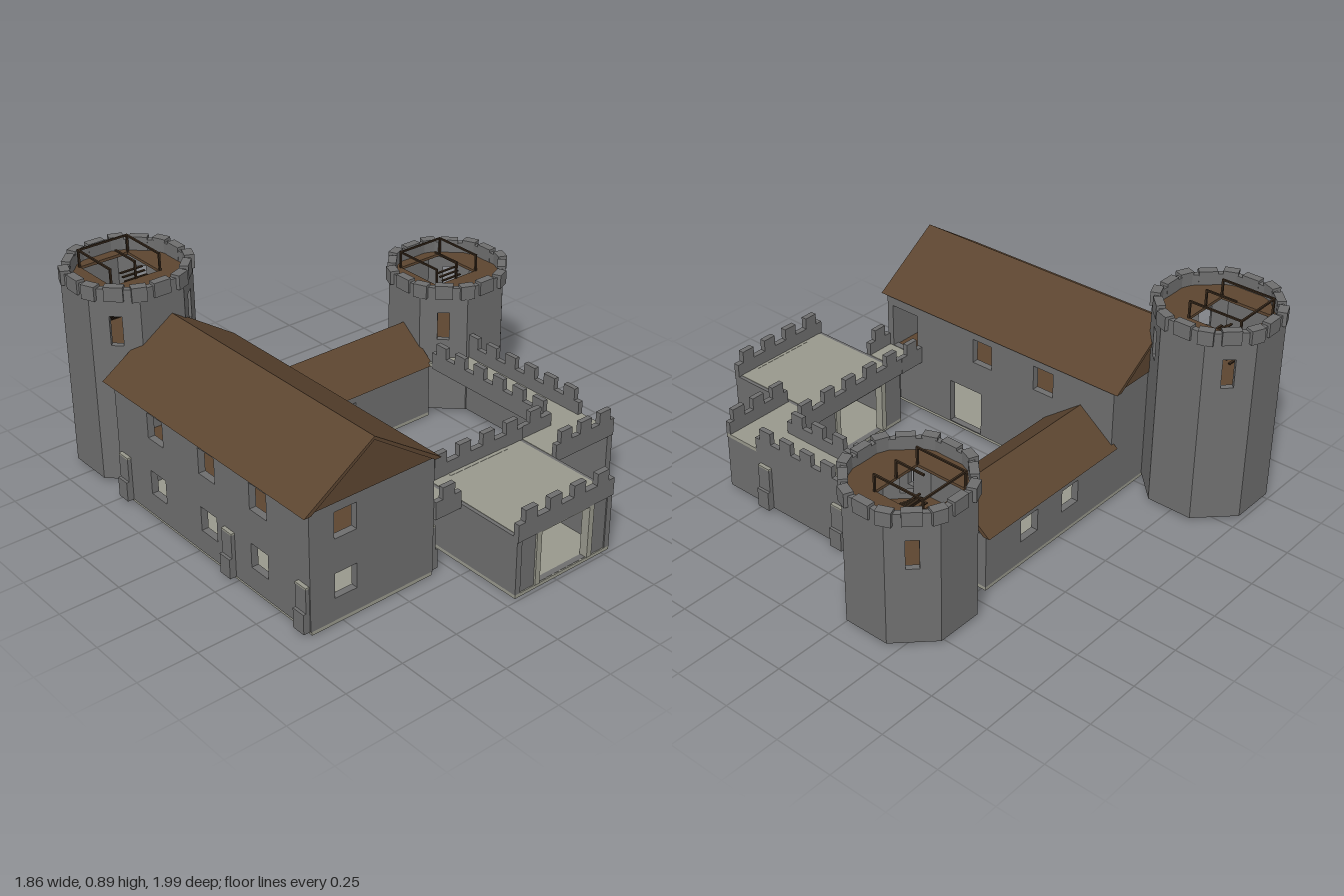
import * as THREE from 'three';

const mat = (name, color) => Object.assign(new THREE.MeshStandardMaterial({ color }), { name });
const stone = mat('grey stone', 0x6e6e6e);
const pale = mat('pale stone', 0x98988c);
const wood = mat('brown wood', 0x5c4530);
const dark = mat('dark timber', 0x36281b);
const PI = Math.PI, BASE = 0.015;

export function createModel() {
  const root = new THREE.Group();
  root.name = 'castle';

  const group = (name, parent = root) => {
    const g = new THREE.Group();
    g.name = name;
    parent.add(g);
    return g;
  };
  const add = (parent, name, geo, m) => {
    const mesh = new THREE.Mesh(geo, m);
    mesh.name = name;
    parent.add(mesh);
    return mesh;
  };
  // box given by its limits
  const box = (parent, name, m, x0, x1, y0, y1, z0, z1) => {
    const b = add(parent, name, new THREE.BoxGeometry(x1 - x0, y1 - y0, z1 - z0), m);
    b.position.set((x0 + x1) / 2, (y0 + y1) / 2, (z0 + z1) / 2);
    return b;
  };
  // upright wall, outer face turned by angle; holes are [u, bottom, width, height]
  const wall = (parent, name, len, y1, angle, x, z, holes = [], t = 0.03) => {
    const rect = (S, u0, v0, u1, v1) => {
      const s = new S();
      s.moveTo(u0, v0); s.lineTo(u1, v0); s.lineTo(u1, v1); s.lineTo(u0, v1); s.closePath();
      return s;
    };
    const shape = rect(THREE.Shape, -len / 2, BASE, len / 2, y1);
    for (const [u, v, w, h] of holes) shape.holes.push(rect(THREE.Path, u - w / 2, v, u + w / 2, v + h));
    const geo = new THREE.ExtrudeGeometry(shape, { depth: t, bevelEnabled: false }).translate(0, 0, -t);
    const mesh = add(parent, name, geo, stone);
    mesh.rotation.y = angle;
    mesh.position.set(x, 0, z);
    return mesh;
  };
  // gabled roof along local z: thin covering over a slightly shorter solid
  const roof = (parent, name, half, eave, ridge, len) => {
    const g = group(name, parent), t = 0.014;
    const prism = (pts, d, part) => {
      const s = new THREE.Shape(pts.map(p => new THREE.Vector2(...p)));
      add(g, part, new THREE.ExtrudeGeometry(s, { depth: d, bevelEnabled: false }).translate(0, 0, -d / 2), wood);
    };
    prism([[-half, eave], [-half + 0.03, eave], [0, ridge - t], [half - 0.03, eave], [half, eave], [0, ridge]], len, 'roofCovering');
    prism([[-half + 0.02, eave + 0.001], [half - 0.02, eave + 0.001], [0, ridge - t / 2]], len - 0.024, 'gable');
    return g;
  };
  // parapet with merlons between two points on one axis
  const parapet = (parent, alongX, a, b, c0, c1) => {
    const g = group('parapet', parent);
    const bar = (n, p, q, y0, y1) => alongX
      ? box(g, n, stone, p, q, y0, y1, c0, c1) : box(g, n, stone, c0, c1, y0, y1, p, q);
    bar('parapetBase', a, b, 0.245, 0.32);
    const n = Math.max(1, Math.round((b - a) / 0.115)), pitch = (b - a) / n;
    for (let i = 0; i < n; i++) {
      const mid = a + (i + 0.5) * pitch;
      bar('merlon', mid - 0.03, mid + 0.03, 0.32, 0.37);
    }
  };
  // stepped buttress standing out along dir on the x axis
  const buttress = (parent, x, z, dir) => {
    const b = (name, m, d, y0, y1) =>
      box(parent, name, m, Math.min(x, x + dir * d), Math.max(x, x + dir * d), y0, y1, z - 0.03, z + 0.03);
    b('buttressFoot', stone, 0.028, BASE, 0.1);
    b('buttressShaft', stone, 0.016, 0.1, 0.2);
    b('buttressCap', pale, 0.016, 0.2, 0.207);
  };

  // great hall
  const hall = group('hall');
  const win = u => [[u, 0.11, 0.1, 0.105], [u, 0.36, 0.1, 0.11]];
  box(hall, 'hallFloor', pale, -0.89, -0.33, 0, BASE, -0.52, 0.68);
  wall(hall, 'hallFrontWall', 0.57, 0.512, 0, -0.61, 0.68, win(-0.125));
  wall(hall, 'hallBackWall', 0.57, 0.512, PI, -0.61, -0.52);
  wall(hall, 'hallOuterWall', 1.2, 0.512, -PI / 2, -0.895, 0.08, [-0.33, 0, 0.31].flatMap(win));
  wall(hall, 'hallCourtWall', 1.2, 0.512, PI / 2, -0.325, 0.08, [
    [-0.07, 0.36, 0.1, 0.11], [0.25, 0.36, 0.1, 0.11],
    [-0.16, 0.02, 0.17, 0.2], [-0.505, 0.267, 0.15, 0.195]]);
  box(hall, 'upperFloor', wood, -0.87, -0.35, 0.25, 0.262, -0.49, 0.65);
  for (let i = 0; i < 11; i++) {
    const y = 0.03 + i * 0.02, z = 0.58 - i * 0.035;
    box(hall, 'stairTread', wood, -0.79, -0.7, y, y + 0.012, z - 0.04, z);
  }
  roof(hall, 'hallRoof', 0.31, 0.512, 0.718, 1.245).position.set(-0.62, 0, 0.078);
  for (const z of [-0.47, 0.21, 0.645]) buttress(hall, -0.895, z, -1);
  buttress(hall, -0.325, 0.645, 1);

  // low range at the back
  const range = group('backRange');
  box(range, 'rangeFloor', pale, -0.33, 0.44, 0, BASE, -0.52, -0.2);
  wall(range, 'rangeCourtWall', 0.77, 0.255, 0, 0.055, -0.2, [[-0.075, 0.02, 0.12, 0.19]]);
  wall(range, 'rangeBackWall', 0.77, 0.255, PI, 0.055, -0.52,
    [[0.12, 0.11, 0.1, 0.1], [-0.13, 0.11, 0.1, 0.1]]);
  wall(range, 'rangeEndWall', 0.32, 0.255, PI / 2, 0.44, -0.36);
  const lowRoof = roof(range, 'rangeRoof', 0.18, 0.25, 0.388, 0.785);
  lowRoof.rotation.y = PI / 2;
  lowRoof.position.set(0.0525, 0, -0.36);

  // gatehouse with a framed passage
  const gate = group('gatehouse');
  box(gate, 'gateFloor', pale, -0.2, 0.29, 0, BASE, 0.5, 0.985);
  box(gate, 'gatePlatform', pale, -0.185, 0.275, 0.25, 0.265, 0.505, 0.965);
  wall(gate, 'gateSideWall', 0.485, 0.263, -PI / 2, -0.2, 0.7425, [], 0.025);
  wall(gate, 'gateSideWall', 0.485, 0.263, PI / 2, 0.29, 0.7425, [], 0.025);
  for (const [z, a] of [[0.98, 0], [0.5, PI]]) {
    wall(gate, 'gateWall', 0.49, 0.263, a, 0.045, z, [[0, 0.016, 0.25, 0.225]], 0.025);
    const z0 = z - (a ? 0.008 : 0.028), z1 = z + (a ? 0.028 : 0.008);
    box(gate, 'gateFrameSide', pale, -0.102, -0.078, BASE, 0.242, z0, z1);
    box(gate, 'gateFrameSide', pale, 0.168, 0.192, BASE, 0.242, z0, z1);
    box(gate, 'gateFrameLintel', pale, -0.102, 0.192, 0.24, 0.266, z0, z1);
  }
  parapet(gate, true, -0.2, 0.29, 0.965, 0.99);
  parapet(gate, true, -0.2, 0.29, 0.488, 0.512);

  // raised wall walks
  const walk = group('curtainWall');
  for (const [x0, x1] of [[-0.325, -0.2], [0.29, 0.61]]) {
    box(walk, 'wallWalk', pale, x0, x1, 0.25, 0.265, 0.49, 0.69);
    parapet(walk, true, x0, x1, 0.67, 0.692);
  }
  parapet(walk, true, -0.325, -0.2, 0.486, 0.508);
  parapet(walk, true, 0.29, 0.43, 0.486, 0.508);
  box(walk, 'wallWalk', pale, 0.43, 0.61, 0.25, 0.265, -0.19, 0.49);
  parapet(walk, false, -0.17, 0.508, 0.428, 0.45);
  parapet(walk, false, -0.15, 0.52, 0.59, 0.612);
  box(walk, 'outerWall', stone, 0.582, 0.61, BASE, 0.252, -0.17, 0.688);
  for (const z of [0.47, 0.07]) buttress(walk, 0.61, z, 1);

  // eight-sided towers
  const A = 0.24, T8 = Math.tan(PI / 8);
  const octagon = (a, y, t, hole) => {
    const s = new THREE.Shape();
    for (let i = 0; i < 8; i++) {
      const q = (i + 0.5) * PI / 4, r = a / Math.cos(PI / 8);
      s[i ? 'lineTo' : 'moveTo'](r * Math.cos(q), r * Math.sin(q));
    }
    s.closePath();
    if (hole) {
      const p = new THREE.Path();
      p.moveTo(-0.11, -0.06); p.lineTo(0.11, -0.06); p.lineTo(0.11, 0.17); p.lineTo(-0.11, 0.17);
      p.closePath();
      s.holes.push(p);
    }
    return new THREE.ExtrudeGeometry(s, { depth: t, bevelEnabled: false }).rotateX(-PI / 2).translate(0, y, 0);
  };
  const tower = (name, x, z, h) => {
    const g = group(name);
    g.position.set(x, 0, z);
    add(g, 'towerBase', octagon(A - 0.005, BASE, 0.012), stone);
    for (let i = 0; i < 8; i++) {
      const q = i * PI / 4, c = q + PI / 8;
      wall(g, 'towerWall', 2 * A * T8, h - 0.012, q, A * Math.sin(q), A * Math.cos(q),
        i % 2 ? [[0, h - 0.252, 0.05, 0.125]] : [], 0.025);
      // merlons hung over each face and each corner
      const block = (a, r, w, d) => {
        const b = add(g, 'towerMerlon', new THREE.BoxGeometry(w, 0.06, d), stone);
        b.position.set(r * Math.sin(a), h - 0.03, r * Math.cos(a));
        b.rotation.y = a;
      };
      block(q, 0.232, 0.075, 0.036);
      block(c, 0.243, 0.06, 0.04);
    }
    add(g, 'towerRoofFloor', octagon(A - 0.022, h - 0.07, 0.012, true), wood);
    add(g, 'towerLowerFloor', octagon(A - 0.022, h - 0.29, 0.012), wood);
    // two flights of stairs under the hatch
    for (let i = 0; i < 8; i++) {
      const zz = -0.07 + i * 0.016;
      const yl = h - 0.27 + i * 0.012, yr = h - 0.17 + (7 - i) * 0.012;
      box(g, 'stairTread', dark, -0.11, -0.005, yl, yl + 0.005, zz, zz + 0.01);
      box(g, 'stairTread', dark, 0.005, 0.11, yr, yr + 0.005, zz, zz + 0.01);
    }
    // hatch railing
    const r = 0.004, top = h + 0.018;
    for (const px of [-0.112, 0, 0.112]) {
      for (const pz of [-0.17, 0.06])
        if (px || pz > 0) box(g, 'railPost', dark, px - r, px + r, h - 0.06, top, pz - r, pz + r);
      box(g, 'railBar', dark, px - r, px + r, top - 0.007, top, px ? -0.17 : -0.075, 0.06);
    }
    box(g, 'railBar', dark, -0.112, 0.112, top - 0.007, top, -0.17 - r, -0.17 + r);
  };
  tower('tallTower', -0.66, -0.748, 0.87);
  tower('shortTower', 0.675, -0.357, 0.6);

  return root;
}
